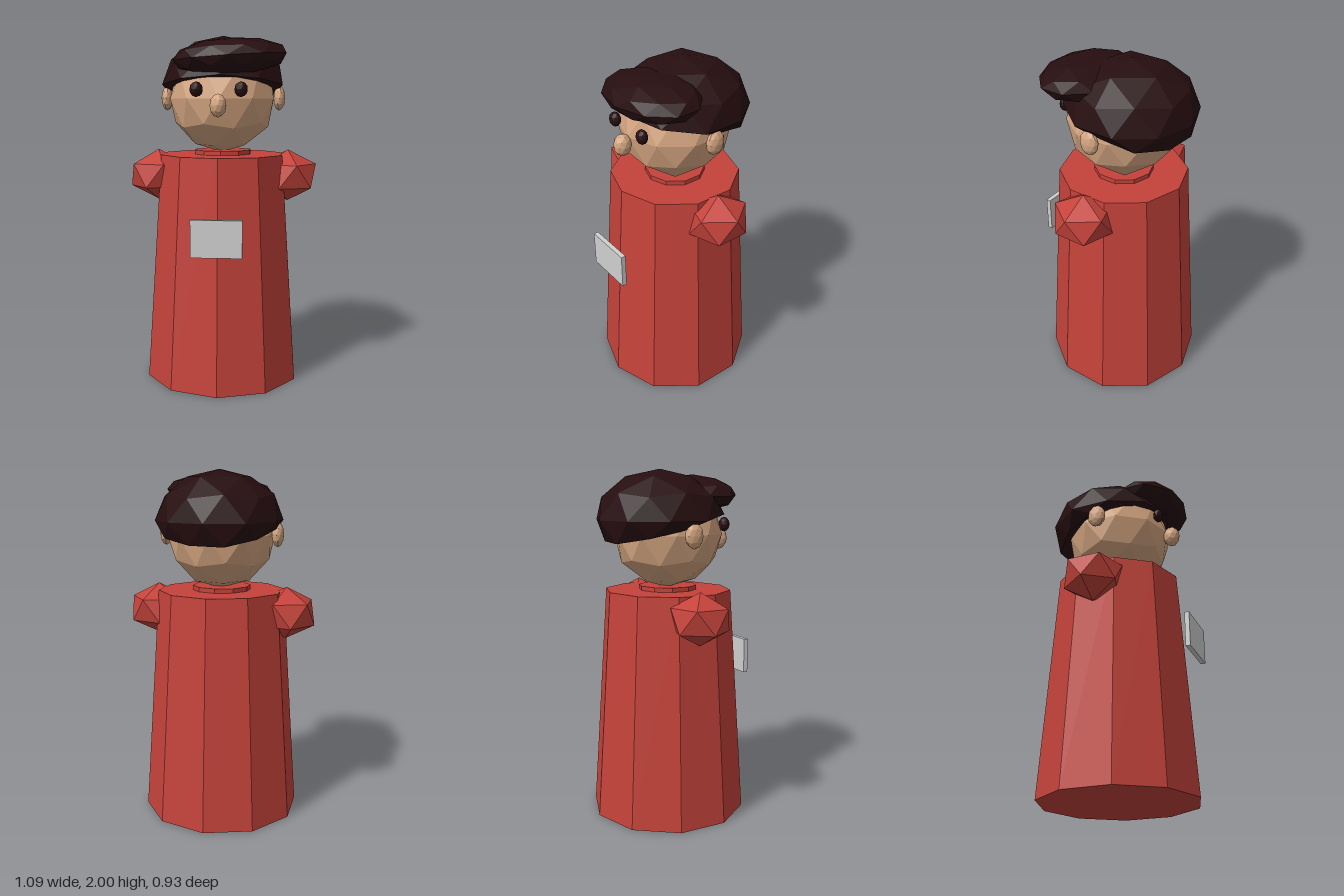
import * as THREE from 'three';

const red = new THREE.MeshStandardMaterial({ color: 0xc5433b });
red.name = 'red cloth';
const skin = new THREE.MeshStandardMaterial({ color: 0xd6a782 });
skin.name = 'skin';
const dark = new THREE.MeshStandardMaterial({ color: 0x270e10 });
dark.name = 'dark brown';
const grey = new THREE.MeshStandardMaterial({ color: 0xd0d0d0 });
grey.name = 'light grey';

// Faceted ball with one corner at the top, stretched to the given radii
function ball(detail, rx, ry, rz) {
  const g = new THREE.IcosahedronGeometry(1, detail);
  g.rotateZ(-Math.atan(2 / (1 + Math.sqrt(5))));
  g.scale(rx, ry, rz);
  g.computeVertexNormals();
  return g;
}

// Ten-sided tapered column with flat faces
function column(top, bottom, height) {
  const g = new THREE.CylinderGeometry(top, bottom, height, 10).toNonIndexed();
  g.computeVertexNormals();
  return g;
}

export function createModel() {
  const model = new THREE.Group();
  model.name = 'figure';
  const add = (name, geometry, material, x, y, z) => {
    const mesh = new THREE.Mesh(geometry, material);
    mesh.name = name;
    mesh.position.set(x, y, z);
    model.add(mesh);
    return mesh;
  };

  // Robe, collar and badge
  add('robe', column(0.365, 0.455, 1.32), red, 0, 0.66, -0.01);
  add('collar', column(0.168, 0.168, 0.06), red, 0, 1.315, -0.01);
  add('badge', new THREE.BoxGeometry(0.28, 0.205, 0.027), grey, 0, 0.8975, 0.4535);

  // Head and nose
  add('head', ball(1, 0.31, 0.31, 0.315), skin, 0, 1.64, -0.01);
  add('nose', ball(1, 0.046, 0.064, 0.05), skin, 0, 1.603, 0.335);

  // Paired parts
  for (const [side, s] of [['left', 1], ['right', -1]]) {
    add(side + 'Shoulder', ball(0, 0.183, 0.149, 0.183), red, s * 0.38, 1.197, -0.01);
    add(side + 'Ear', ball(1, 0.034, 0.071, 0.055), skin, s * 0.327, 1.642, -0.02);
    add(side + 'Eye', ball(1, 0.037, 0.042, 0.03), dark, s * 0.122, 1.69, 0.295);
  }

  // Hair cap: a ball cut flat below along a plane that drops toward the back
  const hair = ball(1, 0.363, 0.28, 0.37);
  hair.translate(0, 1.72, -0.06);
  const p = hair.attributes.position;
  for (let i = 0; i < p.count; i++) {
    p.setY(i, Math.max(p.getY(i), 1.69 + 0.25 * p.getZ(i)));
  }
  hair.computeVertexNormals();
  add('hair', hair, dark, 0, 0, 0);

  // Swept fringe, slightly off to one side
  const fringe = add('fringe', ball(1, 0.325, 0.105, 0.222), dark, 0.054, 1.867, 0.183);
  fringe.rotation.z = 0.06;

  return model;
}
